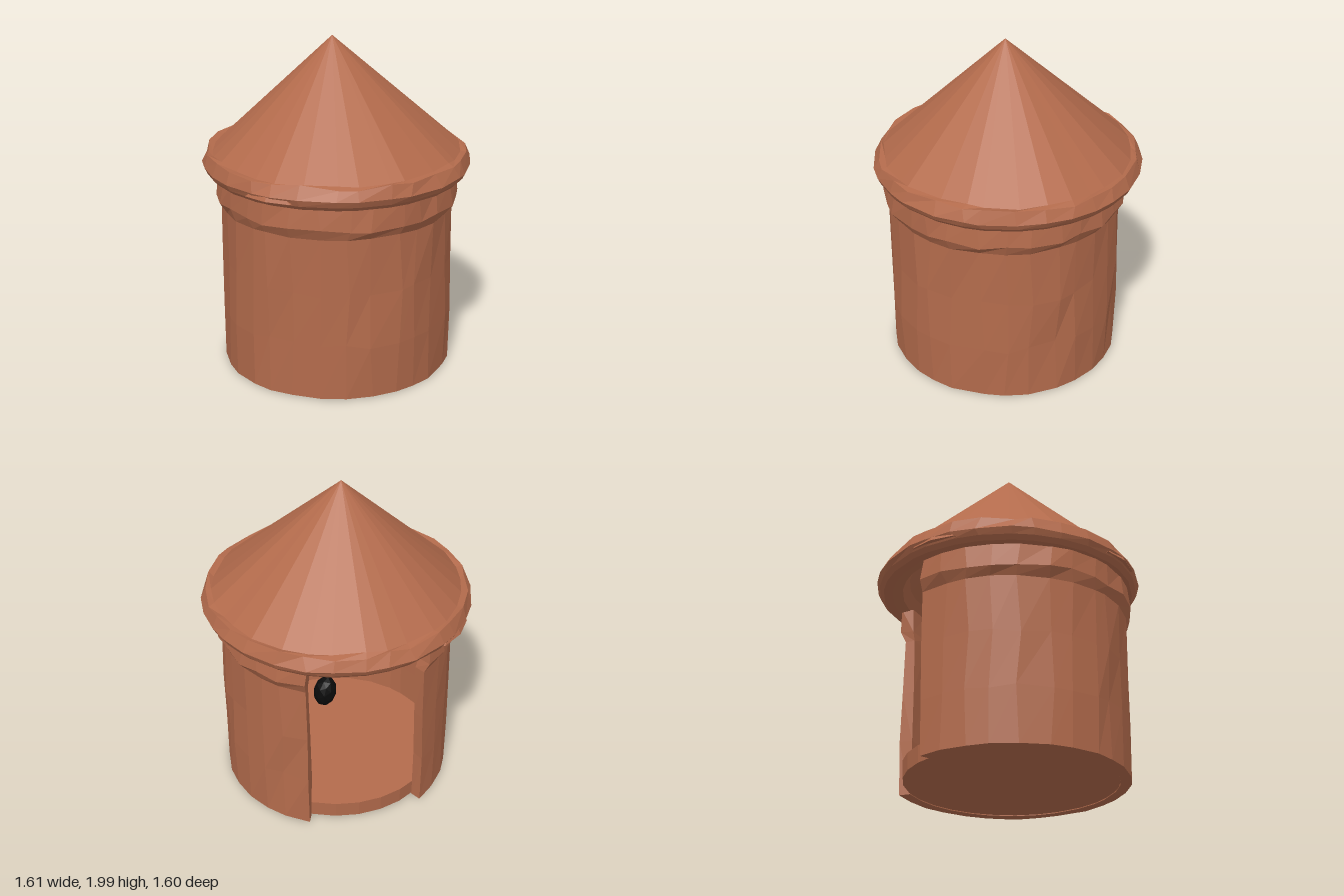
import * as THREE from 'three';

const clay = new THREE.MeshStandardMaterial({ color: 0xb36b4c, flatShading: true });
clay.name = 'clay brown';
const black = new THREE.MeshStandardMaterial({ color: 0x0b0b0b, flatShading: true });
black.name = 'black';

// Small seeded generator, returns -1..1
function seeded(seed) {
  let s = seed;
  return () => {
    s = (s * 16807) % 2147483647;
    return (s / 2147483647) * 2 - 1;
  };
}

// Sweeps a profile of [radius, y, radialJitter, yJitter] around the y axis.
// An open sweep gets end caps that join the two halves of the profile.
function sweep(profile, start, length, cols, seed, closed) {
  const rnd = seeded(seed);
  const grid = [];
  for (let c = 0; c <= cols; c++) {
    if (closed && c === cols) { grid.push(grid[0]); break; }
    const swing = closed || (c > 0 && c < cols) ? 0.2 : 0;
    const a = start + (length * (c + rnd() * swing)) / cols;
    grid.push(profile.map(([r, y, jr = 0, jy = 0]) => {
      const rr = r + rnd() * jr;
      const b = a + (jr ? rnd() * 0.025 : 0);
      return [rr * Math.cos(b), y + rnd() * jy, rr * Math.sin(b)];
    }));
  }
  const pos = [];
  const quad = (p, q, r, s) => pos.push(...p, ...q, ...r, ...r, ...q, ...s);
  const n = profile.length;
  const rows = closed ? n - 1 : n;
  for (let c = 0; c < cols; c++) {
    for (let r = 0; r < rows; r++) {
      const t = (r + 1) % n;
      quad(grid[c][r], grid[c][t], grid[c + 1][r], grid[c + 1][t]);
    }
  }
  if (!closed) {
    const A = grid[0], B = grid[cols];
    for (let r = 0; r < n / 2 - 1; r++) {
      const i = n - 1 - r;
      quad(A[r], A[i], A[r + 1], A[i - 1]);
      quad(B[r], B[r + 1], B[i], B[i - 1]);
    }
  }
  const geo = new THREE.BufferGeometry();
  geo.setAttribute('position', new THREE.Float32BufferAttribute(pos, 3));
  geo.computeVertexNormals();
  return geo;
}

export function createModel() {
  const group = new THREE.Group();
  const add = (name, geo, mat, x = 0, y = 0, z = 0) => {
    const mesh = new THREE.Mesh(geo, mat);
    mesh.name = name;
    mesh.position.set(x, y, z);
    group.add(mesh);
    return mesh;
  };
  const deg = Math.PI / 180;

  // Round wall with a thicker top band, open towards the back right corner
  const wall = [
    [0.69, 0.01, 0.004, 0.003], [0.692, 0.34, 0.01, 0.02], [0.692, 0.66, 0.01, 0.02],
    [0.69, 1.0, 0.006, 0.004], [0.722, 1.06, 0.008, 0.012], [0.71, 1.21, 0.006],
    [0.64, 1.21], [0.635, 1.06, 0.004], [0.63, 1.0, 0.004],
    [0.625, 0.66, 0.006], [0.625, 0.34, 0.006], [0.625, 0.01],
  ];
  add('wall', sweep(wall, 258 * deg, 298 * deg, 24, 11, false), clay, 0.01, 0, 0.02);

  // Floor slab
  add('floor', new THREE.CylinderGeometry(0.63, 0.625, 0.1, 28), clay, 0.01, 0.065, 0.02);

  // Hollow conical roof with a rounded, ragged rim
  const roof = [
    [0, 1.84], [0.6, 1.27], [0.64, 1.205], [0.7, 1.19], [0.755, 1.19],
    [0.78, 1.215], [0.798, 1.25, 0.004, 0.006], [0.765, 1.318, 0.012, 0.014],
    [0.735, 1.322, 0.01, 0.012], [0, 2],
  ];
  const roofGeo = sweep(roof, 0.1, Math.PI * 2, 30, 77, true);
  // Shift the tip a little off centre
  const p = roofGeo.attributes.position;
  for (let i = 0; i < p.count; i++) {
    const k = Math.max(0, 1 - Math.hypot(p.getX(i), p.getZ(i)) / 0.7);
    p.setX(i, p.getX(i) - 0.02 * k);
    p.setZ(i, p.getZ(i) + 0.02 * k);
  }
  roofGeo.computeVertexNormals();
  add('roof', roofGeo, clay);

  // Rough flakes jutting from the rim at the front and the right
  for (const [angle, r] of [[93, 0.755], [183, 0.755]]) {
    const flake = add('rimFlake', new THREE.CylinderGeometry(0.13, 0.17, 0.025, 6), clay,
      r * Math.cos(angle * deg), 1.238, r * Math.sin(angle * deg));
    flake.scale.set(1, 1, 0.32);
    flake.rotation.y = (90 - angle) * deg;
  }

  // Two dark lumps inside, seen through the opening
  const s = Math.SQRT1_2;
  for (const [across, depth] of [[0.05, 0.38], [-0.38, 0.36]]) {
    const lump = add('darkLump', new THREE.IcosahedronGeometry(0.1, 1), black,
      (depth - across) * s, 0.215, (depth + across) * s);
    lump.scale.set(0.75, 1.08, 0.75);
    lump.rotation.set(0.1, 0.4, 0.15);
  }
  return group;
}
